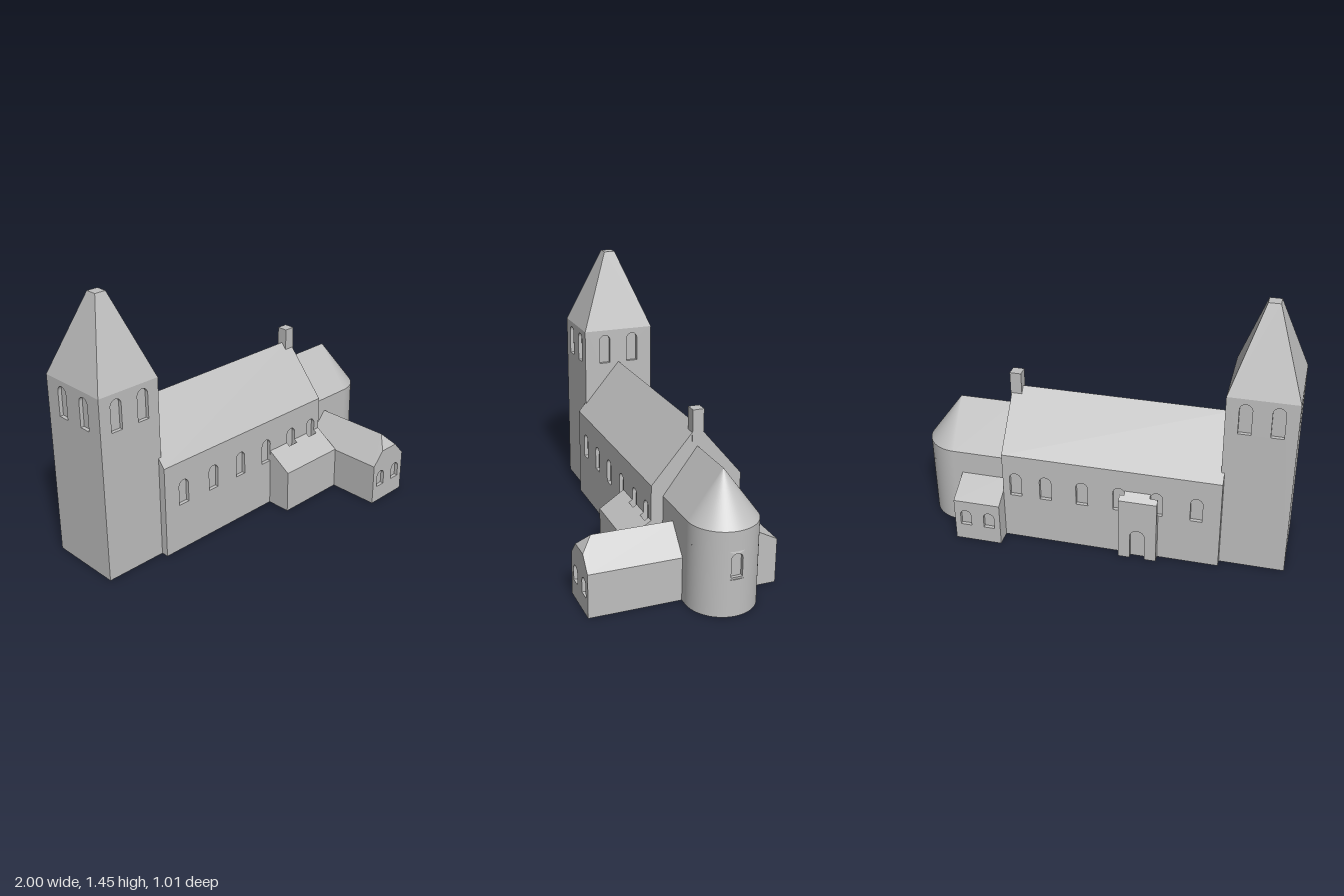
import * as THREE from 'three';
import { ConvexGeometry } from 'three/addons/geometries/ConvexGeometry.js';

const D = 0.02; // depth of window recesses
const AXIS = -0.167; // z of the ridge line

export function createModel() {
  const model = new THREE.Group();
  model.name = 'church';
  const stone = new THREE.MeshStandardMaterial({ color: 0xbfbfbf });
  stone.name = 'stone grey';

  const add = (name, geometry, parent = model) => {
    const mesh = new THREE.Mesh(geometry, stone);
    mesh.name = name;
    parent.add(mesh);
    return mesh;
  };
  const group = (name) => {
    const g = new THREE.Group();
    g.name = name;
    model.add(g);
    return g;
  };
  const box = (name, x0, x1, y0, y1, z0, z1, parent) =>
    add(name, new THREE.BoxGeometry(x1 - x0, y1 - y0, z1 - z0)
      .translate((x0 + x1) / 2, (y0 + y1) / 2, (z0 + z1) / 2), parent);
  const hull = (name, points, parent) =>
    add(name, new ConvexGeometry(points.map((p) => new THREE.Vector3(...p))), parent);

  // Prism along x from a [z, y] cross-section
  const prism = (name, profile, x0, x1, parent) => {
    const shape = new THREE.Shape(profile.map(([z, y]) => new THREE.Vector2(-z, y)));
    const geo = new THREE.ExtrudeGeometry(shape, { depth: x1 - x0, bevelEnabled: false });
    return add(name, geo.rotateY(Math.PI / 2).translate(x0, 0, 0), parent);
  };

  // Round-headed opening traced into a path
  const arch = (path, u, y0, w, y1) => {
    path.lineTo(u - w / 2, y1 - w / 2);
    path.absarc(u, y1 - w / 2, w / 2, Math.PI, 0, true);
    path.lineTo(u + w / 2, y0);
  };
  // Wall slab with arched windows; its outer face is at local z = 0
  const wallGeometry = (w, y0, y1, windows, depth = D, door = null) => {
    const s = new THREE.Shape();
    s.moveTo(-w / 2, y0);
    if (door) {
      s.lineTo(door.u - door.w / 2, y0);
      arch(s, door.u, y0, door.w, door.top);
    }
    s.lineTo(w / 2, y0);
    s.lineTo(w / 2, y1);
    s.lineTo(-w / 2, y1);
    s.closePath();
    for (const [u, b, ww, t] of windows) {
      const hole = new THREE.Path();
      hole.moveTo(u - ww / 2, b);
      arch(hole, u, b, ww, t);
      hole.closePath();
      s.holes.push(hole);
    }
    return new THREE.ExtrudeGeometry(s, { depth, bevelEnabled: false, curveSegments: 10 })
      .translate(0, 0, -depth);
  };
  const wall = (name, geo, x, z, rotY, parent) => {
    const m = add(name, geo, parent);
    m.position.set(x, 0, z);
    m.rotation.y = rotY;
    return m;
  };

  // Tower: core, four walls with paired windows, truncated spire
  const tower = group('tower');
  const tx = -0.82, tw = 0.36, td = 0.413, th = 1.01;
  box('towerCore', tx - tw / 2 + D, tx + tw / 2 - D, 0, th, AXIS - td / 2 + D, AXIS + td / 2 - D, tower);
  const pair = (s) => [-s, s].map((u) => [u, 0.81, 0.065, 0.98]);
  for (const side of [1, -1]) {
    wall('towerWall', wallGeometry(tw, 0, th, pair(0.081)), tx, AXIS + side * td / 2,
      side > 0 ? 0 : Math.PI, tower);
    wall('towerSideWall', wallGeometry(td - 2 * D, 0, th, pair(0.085)), tx + side * tw / 2, AXIS,
      side * Math.PI / 2, tower);
  }
  const spire = [];
  for (const a of [-1, 1]) for (const b of [-1, 1]) {
    spire.push([tx + a * tw / 2, th, AXIS + b * td / 2], [tx + a * 0.031, 1.445, AXIS + b * 0.031]);
  }
  hull('spire', spire, tower);

  // Nave: core with overhanging gable roof, two window walls
  const nave = group('nave');
  const nx0 = -0.657, nx1 = 0.515, nh = 0.247, eave = 0.52;
  const nz = [AXIS + nh, AXIS - nh];
  prism('naveCoreAndRoof', [
    [nz[0] - D, 0], [nz[0] - D, eave], [nz[0], eave], [AXIS, 0.812],
    [nz[1], eave], [nz[1] + D, eave], [nz[1] + D, 0],
  ], nx0, nx1, nave);
  const naveX = [-0.53, -0.32, -0.12, 0.08, 0.28, 0.445];
  const sill = 0.27, winW = 0.064, mid = (nx0 + nx1) / 2;
  [1, -1].forEach((side, i) => wall('naveWall',
    wallGeometry(nx1 - nx0, 0, eave, naveX.map((x) => [side * (x - mid), sill, winW, 0.41])),
    mid, nz[i], i * Math.PI, nave));
  box('chimney', 0.459, 0.52, 0.73, 0.897, AXIS - 0.03, AXIS + 0.03);

  // Strip of sloping roof against the nave, notched in front of its windows
  const notchedStrip = (name, x0, x1, za, ya, zb, yb, parent) => {
    let x = x0;
    const piece = (to, a, b) => {
      if (to > x + 1e-4) prism(name, [[za, 0], [za, a], [zb, b], [zb, 0]], x, to, parent);
      x = Math.max(x, to);
    };
    for (const c of naveX) {
      const l = Math.max(x0, c - winW / 2), r = Math.min(x1, c + winW / 2);
      if (r <= l) continue;
      piece(l, ya, yb);
      piece(r, sill, sill);
    }
    piece(x1, ya, yb);
  };

  // Lean-to on the front of the nave
  const leanTo = group('leanTo');
  notchedStrip('leanToBack', 0.113, nx1, nz[0], 0.33, 0.1, 0.317, leanTo);
  prism('leanToFront', [[0.1, 0], [0.1, 0.317], [0.217, 0.24], [0.217, 0]], 0.113, nx1, leanTo);

  // Shallow porch with arched doorway on the back of the nave
  const porch = group('porch');
  const px0 = -0.33, px1 = -0.127, pz = -0.455, pn = -0.43;
  notchedStrip('porchBack', px0, px1, nz[1], 0.4, pn, 0.384, porch);
  prism('porchRoof', [[pn, 0.363], [pn, 0.384], [pz, 0.363]], px0, px1, porch);
  wall('porchDoorWall', wallGeometry(px1 - px0, 0, 0.363, [], pn - pz, { u: 0, w: 0.08, top: 0.18 }),
    (px0 + px1) / 2, pz, Math.PI, porch);

  // Choir
  const r = 0.183, ax = 0.815, wallTop = 0.455, top = 0.702;
  prism('choir', [[AXIS + r, 0], [AXIS + r, wallTop], [AXIS, top], [AXIS - r, wallTop], [AXIS - r, 0]], nx1, ax);

  // Round apse: bands of half cylinder with a window panel bent to the curve
  const apse = group('apse');
  apse.position.set(ax, 0, AXIS);
  const b0 = 0.2, b1 = 0.35, half = 0.04, gap = Math.asin(half / r);
  const band = (name, rad, y0, y1, t0, t1, open) => add(name,
    new THREE.CylinderGeometry(rad, rad, y1 - y0, 40, 1, open, t0, t1 - t0)
      .translate(0, (y0 + y1) / 2, 0), apse);
  band('apseLowerWall', r, 0, b0, 0, Math.PI, false);
  band('apseUpperWall', r, b1, wallTop, 0, Math.PI, false);
  band('apseSideWall', r, b0, b1, 0, Math.PI / 2 - gap, true);
  band('apseSideWall', r, b0, b1, Math.PI / 2 + gap, Math.PI, true);
  band('apseCore', r - D, b0, b1, 0, Math.PI, true);
  const panel = wallGeometry(half * 2, b0, b1, [[0, 0.212, 0.06, 0.338]], 0.03);
  const pos = panel.attributes.position;
  for (let i = 0; i < pos.count; i++) {
    pos.setZ(i, pos.getZ(i) + Math.sqrt(r * r - pos.getX(i) ** 2));
  }
  panel.computeVertexNormals();
  wall('apseWindowPanel', panel, 0, 0, Math.PI / 2, apse);
  add('apseRoof', new THREE.ConeGeometry(r, top - wallTop, 40, 1, true, 0, Math.PI)
    .translate(0, (top + wallTop) / 2, 0), apse);

  // Front chapel with half-hipped roof
  const chapel = group('frontChapel');
  const cx0 = nx1, cx1 = 0.77, cm = (cx0 + cx1) / 2, cz = 0.503;
  const smallPair = [-0.065, 0.065].map((u) => [u, 0.095, 0.06, 0.187]);
  box('chapelCore', cx0, cx1, 0, 0.235, 0, cz - D, chapel);
  wall('chapelFrontWall', wallGeometry(cx1 - cx0, 0, 0.235, smallPair), cm, cz, 0, chapel);
  hull('chapelRoof', [
    [cx0, 0.235, 0], [cx1, 0.235, 0], [cm, 0.377, 0],
    [cx0, 0.235, cz], [cx1, 0.235, cz],
    [cm - 0.058, 0.312, cz], [cm + 0.058, 0.312, cz], [cm, 0.377, 0.443],
  ], chapel);

  // Back annex with lean-to roof
  const annex = group('backAnnex');
  const bz = -0.503, bIn = bz + D, bTop = 0.245;
  prism('annexCoreAndRoof', [
    [-0.33, 0], [-0.33, 0.337], [bz, bTop], [bIn, bTop], [bIn, 0],
  ], cx0, cx1, annex);
  wall('annexBackWall', wallGeometry(cx1 - cx0, 0, bTop, smallPair), cm, bz, Math.PI, annex);

  return model;
}
